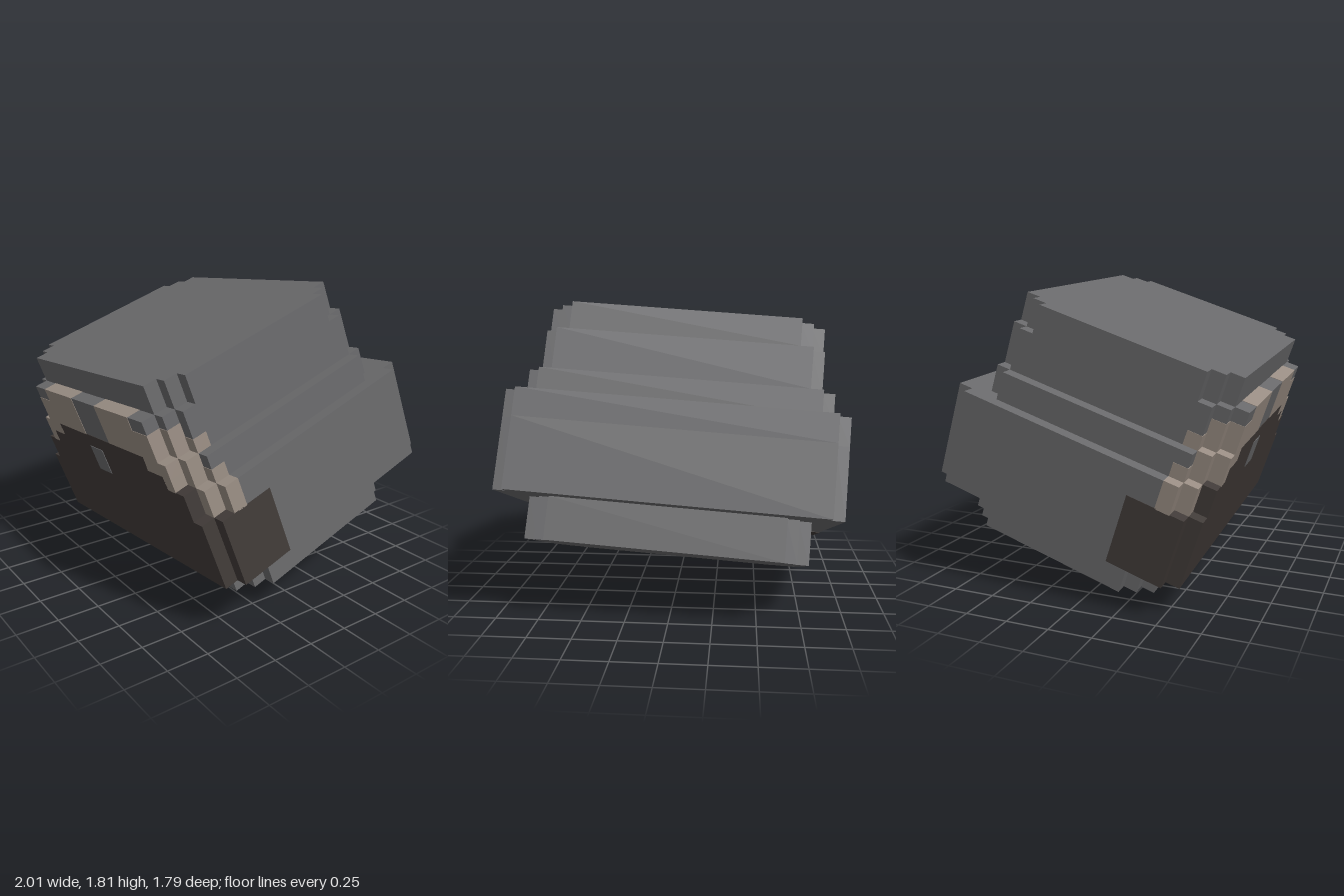
import * as THREE from 'three';

// Block sizes: U across, V up and deep
const U = 0.0744, V = 0.0819;
const X0 = 0.054, Y0 = 0.155, Z0 = 0.473;

const grey = new THREE.MeshStandardMaterial({ color: 0x69696b });
grey.name = 'grey';
const brown = new THREE.MeshStandardMaterial({ color: 0x998d83 });
brown.name = 'brown';
const dark = new THREE.MeshStandardMaterial({ color: 0x413b38 });
dark.name = 'dark brown';

export function createModel() {
  const model = new THREE.Group();
  const body = new THREE.Group();
  body.name = 'tiltedHead';
  body.rotation.set(THREE.MathUtils.degToRad(19), 0, THREE.MathUtils.degToRad(4.25), 'ZYX');
  model.add(body);

  // Slab with stepped corners; front and back list the half widths from the outside in
  function slab(name, k0, k1, j0, j1, front, back) {
    const right = [];
    front.forEach((w, n) => right.push([w, j0 + n], [w, j0 + n + 1]));
    right.pop();
    const rear = [];
    back.forEach((w, n) => rear.push([w, j1 - n], [w, j1 - n - 1]));
    rear.pop();
    right.push(...rear.reverse());
    const outline = [...right, ...right.map(([w, j]) => [-w, j]).reverse()];
    const shape = new THREE.Shape(outline.map(([w, j]) => new THREE.Vector2(X0 + w * U, j * V - Z0)));
    const geo = new THREE.ExtrudeGeometry(shape, { depth: (k1 - k0) * V, bevelEnabled: false });
    geo.rotateX(-Math.PI / 2);
    const mesh = new THREE.Mesh(geo, grey);
    mesh.name = name;
    mesh.position.y = Y0 + k0 * V;
    body.add(mesh);
  }

  // Painted blocks, a hair proud of the slab they colour
  function paint(name, mat, i0, i1, k0, k1, j0, j1) {
    const e = 0.005;
    const geo = new THREE.BoxGeometry((i1 - i0) * U + e, (k1 - k0) * V + e, (j1 - j0) * V + e);
    const mesh = new THREE.Mesh(geo, mat);
    mesh.name = name;
    mesh.position.set(X0 + (i0 + i1) / 2 * U, Y0 + (k0 + k1) / 2 * V, Z0 - (j0 + j1) / 2 * V);
    body.add(mesh);
  }
  function paintPair(name, mat, i0, i1, ...rest) {
    paint(name + 'Left', mat, i0, i1, ...rest);
    paint(name + 'Right', mat, -i1, -i0, ...rest);
  }

  // Stacked slabs from the bottom up
  slab('base', 0, 3, 2, 17, [9, 10, 11], [9, 10, 11]);
  slab('lowerRim', 3, 8, 0, 19, [12, 13], [12, 13]);
  slab('upperRim', 8, 10, 0, 19, [11, 12, 13], [12, 13]);
  slab('band', 10, 12, 0, 17, [10, 11, 12], [11, 12]);
  slab('brow', 12, 15, 0, 17, [9, 10, 11], [10, 11]);
  slab('crown', 15, 17, 1, 17, [9, 10, 11], [9, 10, 11]);

  // Dark muzzle, wrapping round to the sides and stepping in upward
  paint('muzzle', dark, -12, 12, 3, 8, 0, 1);
  paint('muzzleSides', dark, -13, 13, 3, 8, 1, 5);
  paint('muzzleUpper', dark, -11, 11, 8, 10, 0, 1);
  paint('muzzleStep', dark, -9, 9, 10, 11, 0, 1);
  paint('muzzleTop', dark, -7, 7, 11, 12, 0, 1);

  // Grey nose patch
  const nose = new THREE.Mesh(new THREE.BoxGeometry(2 * U, 2 * V, 0.008), grey);
  nose.name = 'nosePatch';
  nose.position.set(X0 - U, Y0 + 10 * V, Z0 + 0.002);
  body.add(nose);

  // Brown face patches
  paintPair('browPatch', brown, 2, 9, 12, 14, 0, 1);
  paintPair('browTop', brown, 2, 7, 14, 15, 0, 1);
  paintPair('browCorner', brown, 9, 10, 12, 14, 1, 2);
  paintPair('browSide', brown, 10, 11, 12, 13, 2, 3);
  paintPair('cheekUpper', brown, 7, 10, 11, 12, 0, 1);
  paintPair('cheekLower', brown, 9, 10, 10, 11, 0, 1);
  paintPair('cheekCorner', brown, 10, 11, 10, 12, 1, 2);
  paintPair('cheekSide', brown, 11, 12, 10, 11, 2, 3);
  paintPair('jawCorner', brown, 11, 12, 8, 10, 1, 2);
  paintPair('jawSide', brown, 12, 13, 8, 10, 2, 3);

  return model;
}
